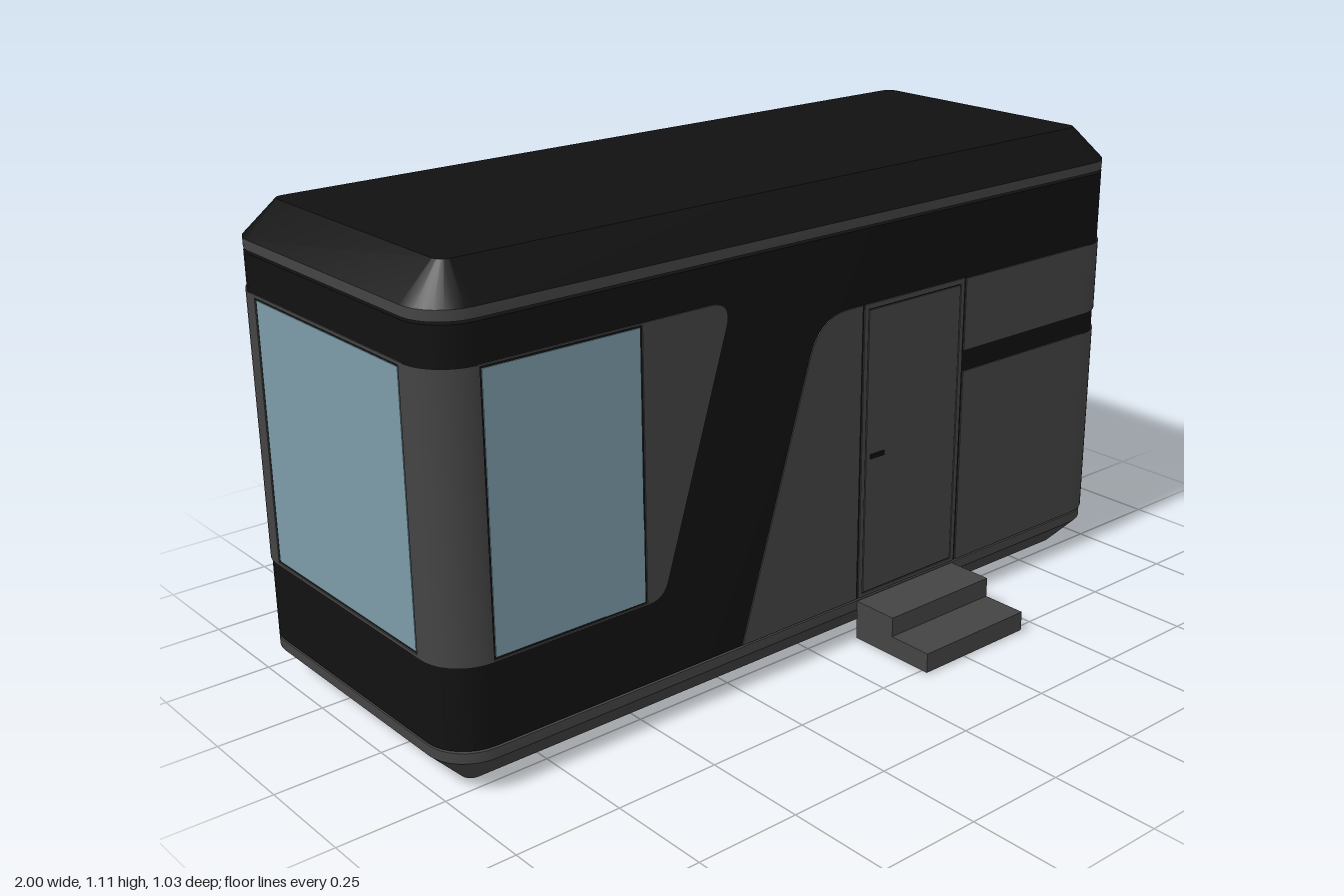
import * as THREE from 'three';
import { toCreasedNormals } from 'three/addons/utils/BufferGeometryUtils.js';

const HX = 0.997, HZ = 0.4, CZ = -0.11, R = 0.1; // body half sizes, centre z, corner radius
const T = 0.003;                                 // cladding thickness

const mat = (color) => new THREE.MeshStandardMaterial({ color });
const black = mat(0x111111), grey = mat(0x444444), glass = mat(0x7c9ca8);

// Rounded rectangle outline, shrunk by an inset
function ring(inset, y) {
  const pts = [], r = R - inset;
  const corners = [[1, 1], [1, -1], [-1, -1], [-1, 1]];
  corners.forEach(([sx, sz], k) => {
    for (let i = 0; i <= 8; i++) {
      const a = (k + i / 8) * Math.PI / 2;
      pts.push([sx * (HX - R) + r * Math.sin(a), y, CZ + sz * (HZ - R) + r * Math.cos(a)]);
    }
  });
  return pts;
}

// Closed loft through [inset, y] levels
function loft(name, levels, material) {
  const rings = levels.map(([inset, y]) => ring(inset, y));
  const n = rings[0].length, pos = [];
  const tri = (...p) => p.forEach((v) => pos.push(...v));
  const last = rings.length - 1;
  for (let i = 0; i < n; i++) {
    const j = (i + 1) % n;
    for (let k = 0; k < last; k++) {
      const lo = rings[k], hi = rings[k + 1];
      tri(lo[i], lo[j], hi[j]);
      tri(lo[i], hi[j], hi[i]);
    }
    tri([0, levels[0][1], CZ], rings[0][j], rings[0][i]);
    tri([0, levels[last][1], CZ], rings[last][i], rings[last][j]);
  }
  const geo = new THREE.BufferGeometry();
  geo.setAttribute('position', new THREE.Float32BufferAttribute(pos, 3));
  const mesh = new THREE.Mesh(toCreasedNormals(geo, 0.6), material);
  mesh.name = name;
  return mesh;
}

// Trace [x, y, cornerRadius] points, rounding where a radius is given
function trace(path, pts) {
  const n = pts.length;
  pts.forEach(([x, y, r = 0], i) => {
    const c = new THREE.Vector2(x, y);
    const toward = (q) => new THREE.Vector2(q[0], q[1]).sub(c).setLength(r).add(c);
    const a = r ? toward(pts[(i + n - 1) % n]) : c;
    if (i === 0) path.moveTo(a.x, a.y); else path.lineTo(a.x, a.y);
    if (r) {
      const b = toward(pts[(i + 1) % n]);
      path.quadraticCurveTo(x, y, b.x, b.y);
    }
  });
  path.closePath();
  return path;
}

const rect = (x0, x1, y0, y1) => [[x0, y0], [x1, y0], [x1, y1], [x0, y1]];

// Thin cladding piece lying on a wall
function panel(name, pts, material, hole, depth = T) {
  const shape = trace(new THREE.Shape(), pts);
  if (hole) shape.holes.push(trace(new THREE.Path(), hole));
  const geo = new THREE.ExtrudeGeometry(shape, { depth, bevelEnabled: false, curveSegments: 8 });
  const mesh = new THREE.Mesh(geo, material);
  mesh.name = name;
  return mesh;
}

// Quarter-round cladding at a vertical body corner
function cornerPanel(name, sx, sz, y0, y1) {
  const start = sx > 0 ? (sz > 0 ? 0 : 0.5) : (sz > 0 ? 1.5 : 1);
  const geo = new THREE.CylinderGeometry(R + T, R + T, y1 - y0, 12, 1, true, start * Math.PI, Math.PI / 2);
  const mesh = new THREE.Mesh(geo, grey.clone());
  mesh.material.side = THREE.DoubleSide;
  mesh.position.set(sx * (HX - R), (y0 + y1) / 2, CZ + sz * (HZ - R));
  mesh.name = name;
  return mesh;
}

function wall(name, x, z, turn) {
  const g = new THREE.Group();
  g.name = name;
  g.position.set(x, 0, z);
  g.rotation.y = turn;
  return g;
}

export function createModel() {
  const model = new THREE.Group();
  model.name = 'cabin';

  // Shell: chamfered base, dark body, rim and chamfered roof
  model.add(
    loft('base', [[0.075, 0], [0, 0.078], [0, 0.102]], grey),
    loft('body', [[0, 0.107], [0, 1.005]], black),
    loft('roofRim', [[0, 1.011], [0, 1.034]], grey),
    loft('roof', [[0, 1.034], [0.075, 1.11]], black)
  );

  const front = wall('frontWall', 0, CZ + HZ, 0);
  const back = wall('backWall', 0, CZ - HZ, Math.PI);
  const leftEnd = wall('leftEnd', HX, CZ, Math.PI / 2);
  const rightEnd = wall('rightEnd', -HX, CZ, -Math.PI / 2);
  model.add(front, back, leftEnd, rightEnd);

  // Slanted window surrounds and side windows on both long walls
  for (const [w, s] of [[front, 1], [back, -1]]) {
    const flip = (pts) => pts.map(([x, y, r]) => [s * x, y, r]);
    w.add(
      panel('windowSurround', flip([[-0.897, 0.295], [-0.462, 0.295, 0.04], [-0.268, 0.92, 0.06], [-0.897, 0.92]]),
        grey, flip(rect(-0.894, -0.507, 0.299, 0.916))),
      panel('sideWindow', flip(rect(-0.889, -0.512, 0.304, 0.911)), glass, null, 0.002)
    );
  }

  // Entrance: sloping panel, door frame, door leaf and handle
  front.add(
    panel('slopedPanel', [[-0.24, 0.108], [0.114, 0.108], [0.114, 0.83], [-0.018, 0.83, 0.09]], grey),
    panel('doorFrame', rect(0.12, 0.447, 0.108, 0.83), grey, rect(0.132, 0.435, 0.116, 0.818)),
    panel('door', rect(0.135, 0.432, 0.119, 0.815), grey),
    panel('doorHandle', rect(0.147, 0.19, 0.456, 0.466), black, null, 0.008)
  );

  // Two grey bands wrapping the left end
  const bands = [['lowerPanel', 0.108, 0.598, -0.54], ['upperPanel', 0.65, 0.828, -0.48]];
  for (const [name, y0, y1, backX] of bands) {
    front.add(panel(name, rect(0.453, HX - R, y0, y1), grey));
    back.add(panel(name, rect(-(HX - R), backX, y0, y1), grey));
    leftEnd.add(panel(name, rect(-0.297, 0.297, y0, y1), grey));
    for (const sz of [1, -1]) model.add(cornerPanel(name + 'Corner', 1, sz, y0, y1));
  }

  // End windows and the corner posts of the right end
  leftEnd.add(
    panel('endWindowFrame', rect(-0.3, 0.3, 0.832, 1.003), grey, rect(-0.295, 0.295, 0.837, 0.998), 0.002),
    panel('endWindow', rect(-0.292, 0.292, 0.84, 0.996), glass, null, 0.002)
  );
  rightEnd.add(
    panel('endWindowFrame', rect(-0.3, 0.3, 0.295, 0.92), grey, rect(-0.286, 0.286, 0.302, 0.913)),
    panel('endWindow', rect(-0.281, 0.281, 0.307, 0.908), glass, null, 0.002)
  );
  for (const sz of [1, -1]) model.add(cornerPanel('cornerPost', -1, sz, 0.295, 0.92));

  // Entrance steps, a side profile pushed across the door width
  const profile = [[-0.29, 0.004], [-0.29, 0.1], [-0.407, 0.1], [-0.407, 0.052], [-0.52, 0.052], [-0.52, 0.004]];
  const steps = panel('steps', profile, grey, null, 0.325);
  steps.rotation.y = Math.PI / 2;
  steps.position.x = 0.12;
  model.add(steps);

  return model;
}
